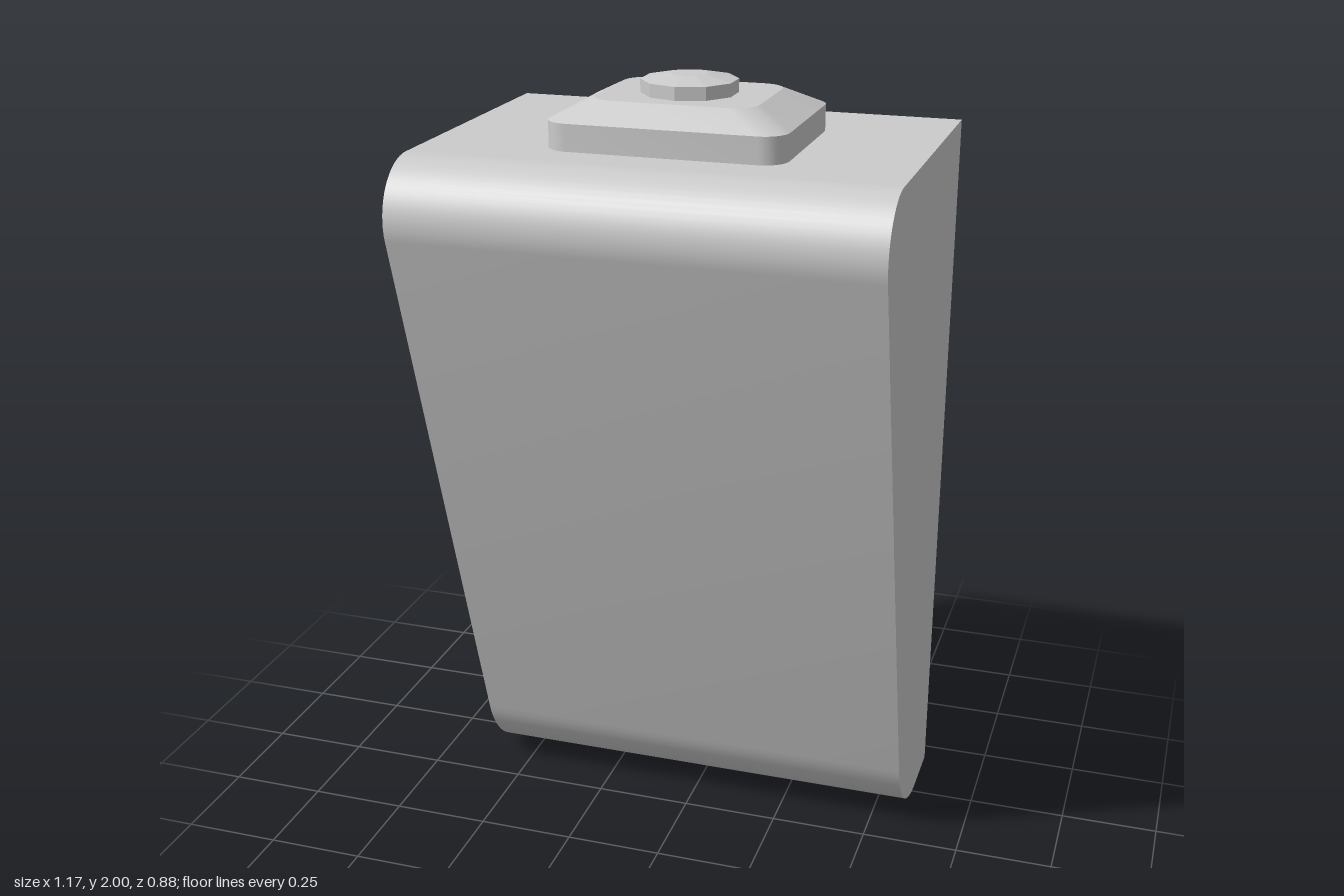
import * as THREE from 'three';
import { toCreasedNormals } from 'three/addons/utils/BufferGeometryUtils.js';

const HALF_W = 0.585, TOP = 1.845, BACK = -0.44;
const PLATE_Z = -0.03, PLATE_TOP = 1.955, KNOB_R = 0.117;

const material = new THREE.MeshStandardMaterial({ color: 0xcccccc, side: THREE.DoubleSide });
const flatMaterial = new THREE.MeshStandardMaterial({ color: 0xcccccc, side: THREE.DoubleSide, flatShading: true });

function add(parent, name, geometry, mat = material) {
  const mesh = new THREE.Mesh(geometry, mat);
  mesh.name = name;
  parent.add(mesh);
}

// Points along a circular arc
function arc(cx, cy, r, from, to, steps) {
  return Array.from({ length: steps + 1 }, (_, i) => {
    const a = from + (to - from) * i / steps;
    return new THREE.Vector2(cx + r * Math.cos(a), cy + r * Math.sin(a));
  });
}

// Rounded rectangle outline, counter-clockwise
function roundedRect(hx, hy, r, cy = 0) {
  const corners = [[1, 1], [-1, 1], [-1, -1], [1, -1]];
  return corners.flatMap(([sx, sy], k) =>
    arc(sx * (hx - r), cy + sy * (hy - r), r, k * Math.PI / 2, (k + 1) * Math.PI / 2, 8));
}

// Skin between successive rows of 3D points
function loft(rows, closed) {
  const n = rows[0].length, index = [];
  for (let i = 0; i < rows.length - 1; i++) {
    for (let j = 0; j < (closed ? n : n - 1); j++) {
      const a = i * n + j, b = i * n + (j + 1) % n;
      index.push(a, b, a + n, b, b + n, a + n);
    }
  }
  const geometry = new THREE.BufferGeometry().setFromPoints(rows.flat());
  geometry.setIndex(index);
  return toCreasedNormals(geometry, Math.PI / 6);
}

// Horizontal sheet with a hole; the outline's y runs towards the back
function sheet(outline, hole, y) {
  const shape = new THREE.Shape(outline);
  shape.holes.push(new THREE.Path(hole));
  return new THREE.ShapeGeometry(shape).rotateX(-Math.PI / 2).translate(0, y, 0);
}

export function createModel() {
  const model = new THREE.Group();

  // Side profile as (z, y): rounded top edge, sloping front, rounded foot
  const slope = -0.304;
  const profile = [
    ...arc(0.305, 1.705, 0.14, Math.PI / 2, slope, 16),
    ...arc(-0.29, 0.286, 0.286, slope, -Math.PI / 2, 16),
    new THREE.Vector2(BACK, 0),
  ];

  // Housing, an open-backed thin shell
  const housing = new THREE.Group();
  housing.name = 'housing';
  model.add(housing);
  const rows = [-HALF_W, HALF_W].map(x => profile.map(p => new THREE.Vector3(x, p.y, p.x)));
  add(housing, 'slopingFront', loft(rows, false));
  for (const s of [1, -1]) {
    const outline = [...profile, new THREE.Vector2(BACK, TOP)].map(p => new THREE.Vector2(-s * p.x, p.y));
    const side = new THREE.ShapeGeometry(new THREE.Shape(outline));
    side.rotateY(s * Math.PI / 2).translate(s * HALF_W, 0, 0);
    add(housing, s > 0 ? 'leftSide' : 'rightSide', side);
  }
  const topOutline = [[-HALF_W, -0.305], [HALF_W, -0.305], [HALF_W, -BACK], [-HALF_W, -BACK]]
    .map(([x, y]) => new THREE.Vector2(x, y));
  add(housing, 'top', sheet(topOutline, roundedRect(0.29, 0.23, 0.06, -PLATE_Z), TOP));

  // Raised hollow plate with bevelled rim
  const cap = new THREE.Group();
  cap.name = 'cap';
  cap.position.z = PLATE_Z;
  model.add(cap);
  const ring = (hx, hz, y) => roundedRect(hx, hz, 0.06).map(p => new THREE.Vector3(p.x, y, -p.y));
  add(cap, 'plateRim', loft([
    ring(0.29, 0.23, TOP), ring(0.29, 0.23, 1.91), ring(0.2, 0.16, PLATE_TOP),
  ], true));
  const decagon = arc(0, 0, KNOB_R, Math.PI / 2, Math.PI * 2.5, 10).slice(0, 10);
  add(cap, 'plateTop', sheet(roundedRect(0.2, 0.16, 0.06), decagon, PLATE_TOP));

  // Ten-sided hollow knob
  const knob = [[KNOB_R, PLATE_TOP], [KNOB_R, 1.987], [0.045, 2], [0, 2]]
    .map(([x, y]) => new THREE.Vector2(x, y));
  add(cap, 'knob', new THREE.LatheGeometry(knob, 10), flatMaterial);

  return model;
}
